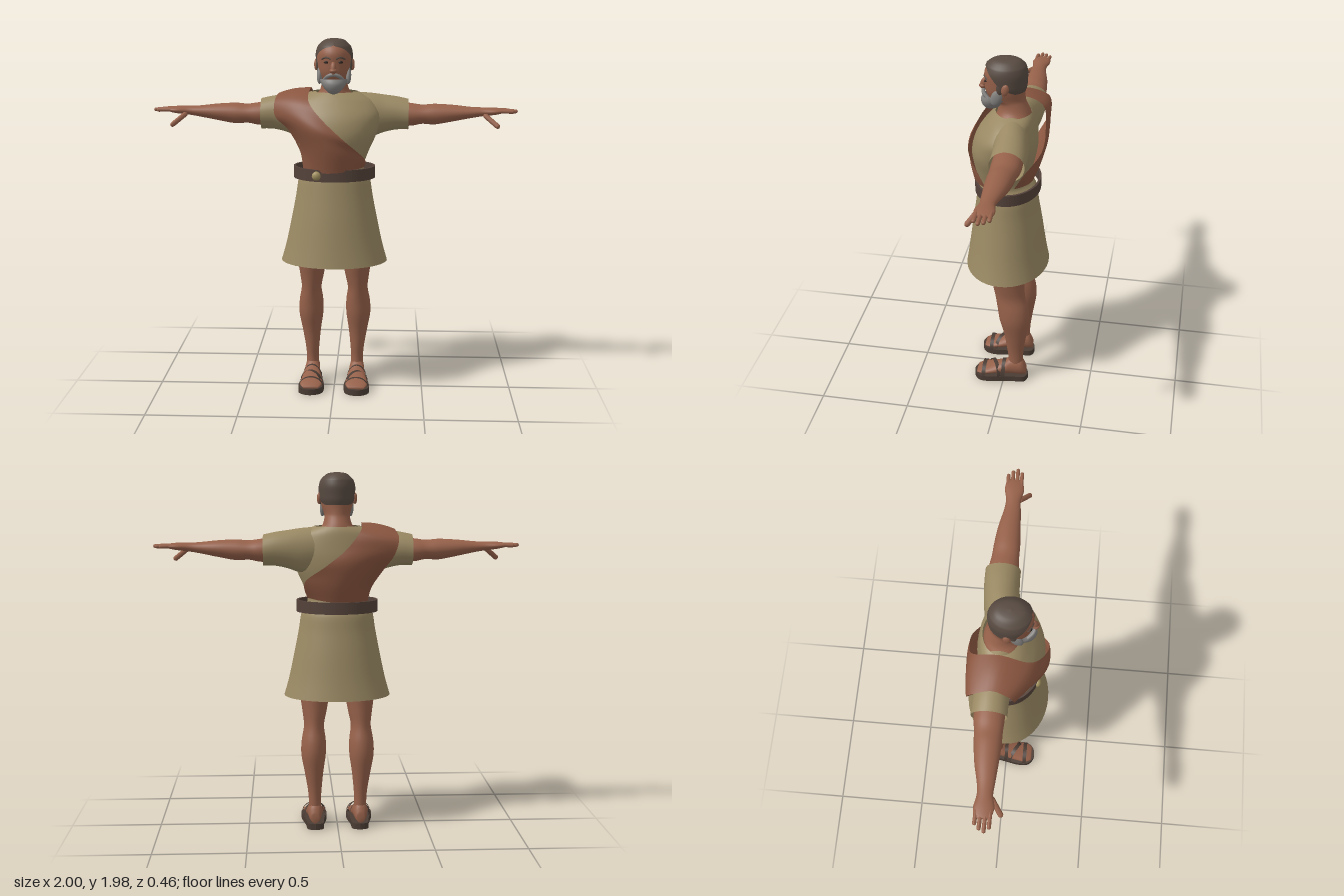
import * as THREE from 'three';

const flat = (name, color, extra = {}) => new THREE.MeshStandardMaterial({ name, color, ...extra });
const DS = { side: THREE.DoubleSide };

// Catmull-Rom smoothing of number rows
function smooth(rows, n) {
  const out = [], at = i => rows[Math.max(0, Math.min(rows.length - 1, i))];
  for (let i = 0; i < rows.length - 1; i++) {
    for (let k = 0; k < n; k++) {
      const t = k / n, a = at(i - 1), b = at(i), c = at(i + 1), d = at(i + 2);
      out.push(b.map((v, q) => v + 0.5 * t * (c[q] - a[q] + t * (2 * a[q] - 5 * v + 4 * c[q] - d[q]
        + t * (3 * (v - c[q]) + d[q] - a[q])))));
    }
  }
  out.push(rows[rows.length - 1]);
  return out;
}

// Skin a grid of points; closed joins the last column to the first
function grid(rows, closed, caps) {
  const pos = rows.flat(2), idx = [], m = rows[0].length, n = rows.length;
  const cols = closed ? m : m - 1;
  for (let i = 0; i < n - 1; i++) for (let j = 0; j < cols; j++) {
    const a = i * m + j, b = i * m + (j + 1) % m;
    idx.push(a, b, a + m, b, b + m, a + m);
  }
  if (caps) [0, n - 1].forEach((r, e) => {
    const c = pos.length / 3;
    pos.push(...[0, 1, 2].map(k => rows[r].reduce((s, p) => s + p[k], 0) / m));
    for (let j = 0; j < m; j++) {
      const a = r * m + j, b = r * m + (j + 1) % m;
      idx.push(c, ...(e ? [a, b] : [b, a]));
    }
  });
  const g = new THREE.BufferGeometry();
  g.setAttribute('position', new THREE.Float32BufferAttribute(pos, 3));
  g.setIndex(idx);
  g.computeVertexNormals();
  return g;
}

// Elliptical sections [position, u0, u1, v0, v1, optional share of the ring]
// axis y: u = x, v = z; axis x: u = z, v = y; axis z: u = y, v = x
function loft(axis, sections, { caps = true, mid = 0, sides = 28 } = {}) {
  const partial = sections[0].length > 5;
  const rows = smooth(sections, 4).map(([p, u0, u1, v0, v1, share = 1]) => {
    const ring = [], a = Math.PI * Math.min(1, share);
    for (let j = 0; j < sides + (partial ? 1 : 0); j++) {
      const t = mid + a * (2 * j / sides - 1);
      const u = (u0 + u1) / 2 + (u1 - u0) / 2 * Math.sin(t);
      const v = (v0 + v1) / 2 + (v1 - v0) / 2 * Math.cos(t);
      ring.push(axis === 'y' ? [u, p, v] : axis === 'x' ? [p, v, u] : [v, u, p]);
    }
    return ring;
  });
  return grid(rows, !partial, caps && !partial);
}

function mirrored(geo) {
  const g = geo.clone().scale(-1, 1, 1), ix = g.index.array;
  for (let i = 0; i < ix.length; i += 3) [ix[i], ix[i + 1]] = [ix[i + 1], ix[i]];
  g.computeVertexNormals();
  return g;
}

const ball = (x, y, z, sx, sy, sz, tilt = 0) =>
  new THREE.SphereGeometry(1, 16, 12).scale(sx, sy, sz).rotateX(tilt).translate(x, y, z);

function capsule(a, b, r) {
  const A = new THREE.Vector3(...a), B = new THREE.Vector3(...b), d = B.clone().sub(A);
  const q = new THREE.Quaternion().setFromUnitVectors(new THREE.Vector3(0, 1, 0), d.clone().normalize());
  const c = A.add(B).multiplyScalar(0.5);
  return new THREE.CapsuleGeometry(r, d.length() - 2 * r, 4, 10).applyQuaternion(q).translate(c.x, c.y, c.z);
}

const tube = (pts, r) => new THREE.TubeGeometry(
  new THREE.CatmullRomCurve3(pts.map(p => new THREE.Vector3(...p))), 12, r, 6);

export function createModel() {
  const model = new THREE.Group();
  model.name = 'robedMan';
  const skin = flat('skin', 0x96614a), cloth = flat('tunicCloth', 0x9a8963, DS);
  const sashCloth = flat('sashCloth', 0x8a5640, DS), leather = flat('beltLeather', 0x54423a);
  const sandalMat = flat('sandalLeather', 0x4a3c34, DS), hairMat = flat('hair', 0x574a41, DS);
  const beardMat = flat('beard', 0x858380, DS), brass = flat('buckle', 0xa0905f), dark = flat('eye', 0x2a201c);
  const add = (name, geo, mat) => {
    const mesh = new THREE.Mesh(geo, mat);
    mesh.name = name;
    model.add(mesh);
  };
  const pair = (name, geo, mat) => {
    add('left' + name, geo, mat);
    add('right' + name, mirrored(geo), mat);
  };
  // Symmetric section: height, half width, back, front
  const sym = (y, w, back, front, ...rest) => [y, -w, w, back, front, ...rest];

  // Tunic with skirt, open at hem and neck
  add('tunic', loft('y', [
    sym(0.75, 0.295, -0.23, 0.23), sym(0.85, 0.267, -0.212, 0.215), sym(1.0, 0.235, -0.19, 0.195),
    sym(1.12, 0.212, -0.17, 0.178), sym(1.22, 0.195, -0.155, 0.165), sym(1.28, 0.162, -0.115, 0.158),
    sym(1.36, 0.185, -0.135, 0.18), sym(1.45, 0.225, -0.155, 0.193), sym(1.52, 0.245, -0.16, 0.182),
    sym(1.58, 0.25, -0.155, 0.155), sym(1.64, 0.215, -0.147, 0.11), sym(1.67, 0.17, -0.14, 0.085),
    sym(1.69, 0.125, -0.13, 0.065)], { caps: false, sides: 40 }), cloth);
  pair('Sleeve', loft('x', [
    [0.1, -0.13, 0.05, 1.45, 1.688], [0.2, -0.145, 0.045, 1.44, 1.68], [0.27, -0.152, 0.035, 1.462, 1.67],
    [0.34, -0.155, 0.03, 1.477, 1.66], [0.405, -0.155, 0.03, 1.478, 1.646]], { caps: false }), cloth);

  // Sash: outer, middle and inner points from front waist, over the shoulder, to back waist
  const sashRows = smooth([
    [-0.165, 1.27, 0.09, 0, 1.27, 0.185, 0.165, 1.29, 0.09],
    [-0.185, 1.38, 0.08, -0.03, 1.4, 0.212, 0.168, 1.34, 0.115],
    [-0.25, 1.49, 0.065, -0.12, 1.5, 0.2, 0.06, 1.45, 0.208],
    [-0.32, 1.56, 0.06, -0.2, 1.59, 0.14, -0.06, 1.56, 0.185],
    [-0.325, 1.64, 0.03, -0.23, 1.66, 0.07, -0.135, 1.65, 0.115],
    [-0.31, 1.675, -0.06, -0.22, 1.702, -0.05, -0.13, 1.708, -0.03],
    [-0.325, 1.63, -0.172, -0.22, 1.65, -0.178, -0.12, 1.67, -0.165],
    [-0.3, 1.54, -0.18, -0.18, 1.57, -0.2, -0.04, 1.57, -0.195],
    [-0.24, 1.45, -0.13, -0.1, 1.48, -0.2, 0.07, 1.48, -0.19],
    [-0.185, 1.36, -0.09, -0.02, 1.38, -0.178, 0.18, 1.39, -0.11],
    [-0.165, 1.28, -0.06, 0, 1.28, -0.14, 0.165, 1.3, -0.06]], 5);
  add('sash', grid(sashRows.map(r => Array.from({ length: 13 }, (_, j) => {
    const t = j / 12, a = (1 - t) * (1 - 2 * t), b = 4 * t * (1 - t), c = t * (2 * t - 1);
    return [0, 1, 2].map(k => a * r[k] + b * r[k + 3] + c * r[k + 6]);
  })), false, false), sashCloth);

  // Loose belt hoop and round buckle
  const hoop = new THREE.Shape().absellipse(0, 0, 0.224, 0.179, 0, Math.PI * 2);
  hoop.holes.push(new THREE.Path().absellipse(0, 0, 0.212, 0.167, 0, Math.PI * 2, true));
  add('belt', new THREE.ExtrudeGeometry(hoop, { depth: 0.065, bevelEnabled: false, curveSegments: 40 })
    .rotateX(-Math.PI / 2).translate(0, 1.22, 0), leather);
  add('buckle', ball(-0.09, 1.252, 0.166, 0.025, 0.025, 0.018), brass);

  // Neck and head
  add('head', loft('y', [
    sym(1.58, 0.17, -0.11, 0.1), sym(1.65, 0.125, -0.125, 0.07), sym(1.69, 0.085, -0.118, 0.055),
    sym(1.735, 0.07, -0.098, 0.055), sym(1.76, 0.073, -0.092, 0.1), sym(1.8, 0.085, -0.09, 0.12),
    sym(1.85, 0.092, -0.093, 0.123), sym(1.9, 0.092, -0.095, 0.125), sym(1.94, 0.077, -0.083, 0.104),
    sym(1.965, 0.045, -0.05, 0.065)]), skin);
  add('hair', loft('y', [
    sym(1.805, 0.086, -0.093, 0.12, 0.3), sym(1.83, 0.096, -0.1, 0.127, 0.46), sym(1.86, 0.099, -0.102, 0.13, 0.58),
    sym(1.9, 0.1, -0.104, 0.133, 0.68), sym(1.93, 0.093, -0.098, 0.122, 0.82), sym(1.947, 0.082, -0.09, 0.112, 1),
    sym(1.972, 0.05, -0.057, 0.075, 1), sym(1.98, 0.001, 0.008, 0.01, 1)], { mid: Math.PI }), hairMat);
  add('beard', loft('y', [
    sym(1.685, 0.003, 0.09, 0.096, 1), sym(1.695, 0.028, 0.06, 0.125, 1), sym(1.72, 0.053, 0.025, 0.142, 0.9),
    sym(1.745, 0.07, -0.01, 0.145, 0.7), sym(1.768, 0.082, -0.05, 0.134, 0.6)]), beardMat);
  add('moustache', tube([[-0.05, 1.765, 0.1], [-0.03, 1.785, 0.125], [0, 1.794, 0.133], [0.03, 1.785, 0.125],
    [0.05, 1.765, 0.1]], 0.01), beardMat);
  pair('BeardSide', ball(0.078, 1.785, 0.048, 0.015, 0.05, 0.03, -0.4), beardMat);
  pair('Sideburn', ball(0.088, 1.84, 0.03, 0.01, 0.035, 0.018), hairMat);
  add('nose', ball(0, 1.828, 0.128, 0.016, 0.036, 0.02, -0.3), skin);
  add('noseTip', ball(0, 1.815, 0.135, 0.021, 0.013, 0.02), skin);
  pair('Ear', ball(0.098, 1.838, 0.0, 0.012, 0.032, 0.02, -0.2), skin);
  pair('Eye', ball(0.037, 1.858, 0.112, 0.015, 0.007, 0.008), dark);
  pair('Eyebrow', tube([[0.014, 1.876, 0.124], [0.037, 1.884, 0.117], [0.062, 1.874, 0.099]], 0.005), hairMat);

  // Arms, palms and fingers
  pair('Arm', loft('x', [
    [0.2, -0.13, 0.02, 1.5, 1.64], [0.4, -0.14, 0.018, 1.497, 1.625], [0.48, -0.13, 0.014, 1.51, 1.615],
    [0.55, -0.125, 0.014, 1.507, 1.62], [0.65, -0.112, 0.008, 1.525, 1.615], [0.75, -0.09, 0, 1.545, 1.605],
    [0.81, -0.084, -0.004, 1.555, 1.603], [0.87, -0.095, 0.008, 1.562, 1.602], [0.91, -0.092, 0, 1.57, 1.598],
    [0.93, -0.085, -0.01, 1.578, 1.593]]), skin);
  [[-0.083, 0.965], [-0.059, 0.988], [-0.034, 1.0], [-0.01, 0.98]].forEach(([z, tip], i) =>
    pair('Finger' + (i + 1), capsule([0.88, 1.586, z * 0.95], [tip, 1.583, z], 0.0105), skin));
  pair('Thumb', capsule([0.815, 1.568, -0.015], [0.895, 1.503, 0.045], 0.014), skin);

  // Legs and feet
  pair('Leg', loft('y', [
    [0.08, 0.09, 0.162, -0.108, -0.02], [0.15, 0.094, 0.162, -0.11, -0.024], [0.22, 0.09, 0.168, -0.115, -0.015],
    [0.32, 0.08, 0.185, -0.13, 0], [0.42, 0.066, 0.203, -0.145, 0.025], [0.5, 0.066, 0.2, -0.14, 0.037],
    [0.58, 0.075, 0.187, -0.12, 0.05], [0.66, 0.06, 0.195, -0.115, 0.066], [0.75, 0.045, 0.205, -0.115, 0.085],
    [0.95, 0.02, 0.205, -0.12, 0.11]]), skin);
  pair('Foot', loft('z', [
    [-0.128, 0.035, 0.09, 0.105, 0.15], [-0.1, 0.03, 0.14, 0.09, 0.165], [-0.04, 0.03, 0.14, 0.085, 0.17],
    [0, 0.03, 0.112, 0.08, 0.175], [0.06, 0.03, 0.086, 0.07, 0.185], [0.12, 0.03, 0.065, 0.066, 0.19],
    [0.158, 0.03, 0.048, 0.085, 0.172]]), skin);

  // Sandals: shaped sole and arched straps
  const sole = new THREE.Shape();
  sole.moveTo(0.125, 0.14);
  sole.splineThru([[0.168, 0.12], [0.178, 0.04], [0.2, -0.08], [0.19, -0.145], [0.135, -0.175],
    [0.075, -0.15], [0.057, -0.08], [0.075, 0.04], [0.083, 0.12], [0.125, 0.14]].map(p => new THREE.Vector2(...p)));
  const soleGeo = new THREE.ExtrudeGeometry(sole, { depth: 0.034, bevelEnabled: false, curveSegments: 40 })
    .rotateX(-Math.PI / 2);
  soleGeo.setIndex([...Array(soleGeo.attributes.position.count).keys()]);
  pair('SandalSole', soleGeo, sandalMat);
  [[0.115, 0.068, 0.058, 0], [0.0, 0.058, 0.09, 0], [0.055, 0.068, 0.075, 0.5]].forEach(([z, w, h, turn], i) =>
    pair('SandalStrap' + (i + 1), new THREE.CylinderGeometry(1, 1, 0.022, 24, 1, true, Math.PI / 2, Math.PI)
      .rotateX(Math.PI / 2).scale(w, h, 1).rotateY(turn).translate(0.128, 0.03, z), sandalMat));
  return model;
}
